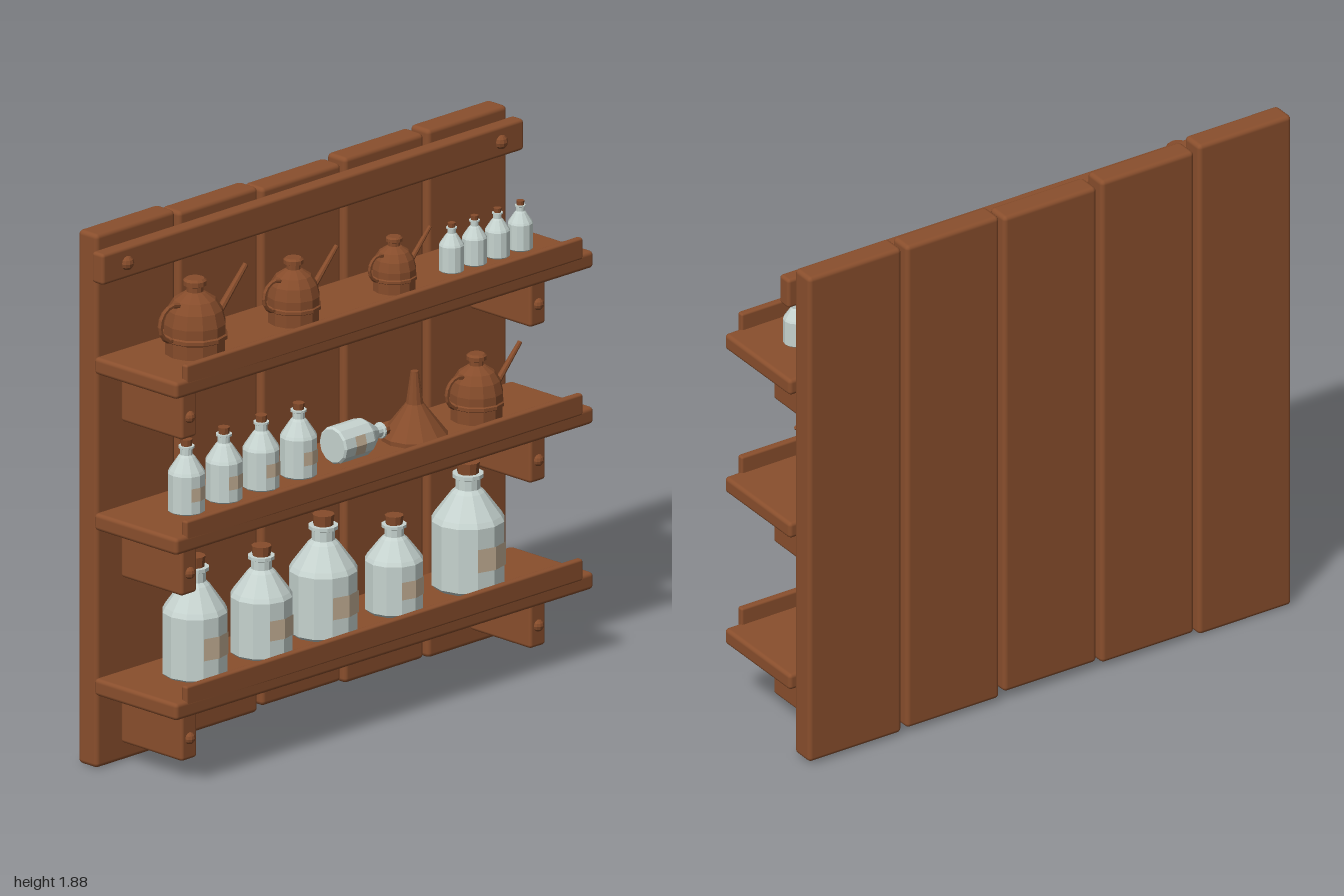
import * as THREE from 'three';
import { RoundedBoxGeometry } from 'three/addons/geometries/RoundedBoxGeometry.js';

const mat = (name, color, extra = {}) => {
  const m = new THREE.MeshStandardMaterial({ color, ...extra });
  m.name = name;
  return m;
};

export function createModel() {
  const root = new THREE.Group();
  root.name = 'wallShelf';
  const wood = mat('wood', 0x8a4f2d);
  const copper = mat('copper', 0x864c2b, { flatShading: true });
  const glass = mat('paleGlass', 0xc6d3cf, { flatShading: true });
  const paper = mat('labelPaper', 0xc2ae94, { flatShading: true });

  const add = (parent, name, geo, material, x = 0, y = 0, z = 0) => {
    const m = new THREE.Mesh(geo, material);
    m.name = name;
    m.position.set(x, y, z);
    parent.add(m);
    return m;
  };
  // Box with softened edges, given by its limits
  const slab = (name, x0, x1, y0, y1, z0, z1, r = 0.012) =>
    add(root, name, new RoundedBoxGeometry(x1 - x0, y1 - y0, z1 - z0, 2, r), wood,
      (x0 + x1) / 2, (y0 + y1) / 2, (z0 + z1) / 2);
  const bolt = (x, y, z, r) => {
    const b = add(root, 'bolt', new THREE.SphereGeometry(r, 10, 6), copper, x, y, z);
    b.scale.z = 0.9;
  };
  const lathe = (pts, s, n = 12) =>
    new THREE.LatheGeometry(pts.map(([r, y]) => new THREE.Vector2(r * s, y * s)), n);
  const place = (name, x, y) => {
    const g = new THREE.Group();
    g.name = name;
    g.position.set(x, y, 0.045);
    root.add(g);
    return g;
  };

  // Back planks: left edge, bottom, top
  [[-0.975, 0, 1.885], [-0.583, 0.016, 1.872], [-0.19, 0.03, 1.86],
    [0.202, 0.016, 1.872], [0.596, 0.01, 1.876]].forEach(([x, y0, y1]) =>
    slab('backPlank', x, x + 0.375, y0, y1, -0.245, -0.155, 0.016));

  // Top rail
  slab('topRail', -1, 0.995, 1.725, 1.835, -0.155, -0.1);
  for (const s of [-1, 1]) bolt(s * 0.885, 1.78, -0.1, 0.025);

  // Shelves with front lip and brackets
  for (const y of [1.425, 0.874, 0.29]) {
    const shelf = slab('shelf', -0.993, 0.993, y - 0.03, y + 0.03, -0.155, 0.235, 0.014);
    shelf.rotation.set(0, 0.004, -0.006);
    slab('shelfLip', -0.942, 0.935, y + 0.01, y + 0.086, 0.212, 0.238, 0.008);
    for (const s of [-1, 1]) {
      const x = s * 0.825;
      slab('bracket', x - 0.037, x + 0.037, y - 0.223, y - 0.02, -0.156, 0.135);
      bolt(x, y - 0.147, 0.135, 0.021);
    }
  }

  // Bottle: body radius R, total height H, cork included
  const bottle = (x, y, R, H, label = true) => {
    const g = place('bottle', x, y);
    const h = H / R;
    add(g, 'bottleGlass', lathe([[0, 0], [0.9, 0], [1, 0.1], [1, 0.54 * h], [0.92, 0.58 * h],
      [0.45, 0.76 * h], [0.34, 0.79 * h], [0.34, 0.87 * h], [0.43, 0.88 * h],
      [0.43, 0.91 * h], [0, 0.91 * h]], R), glass);
    add(g, 'cork', new THREE.CylinderGeometry(0.32 * R, 0.28 * R, 0.11 * H, 10), copper, 0, 0.945 * H, 0);
    if (label) {
      add(g, 'label', new THREE.CylinderGeometry(1.04 * R, 1.04 * R, 0.185 * H, 2, 1, true,
        -Math.PI / 6, Math.PI / 3), paper, 0, 0.29 * H, 0);
    }
    return g;
  };
  // Large bottles on the lowest shelf
  [[-0.71, 0.112, 0.42], [-0.395, 0.107, 0.38], [-0.102, 0.118, 0.42],
    [0.233, 0.1, 0.335], [0.583, 0.126, 0.44]].forEach(([x, R, H]) => bottle(x, 0.32, R, H));
  // Small bottles, one lying down
  for (let i = 0; i < 4; i++) bottle(-0.75 + i * 0.177, 0.906, 0.064, 0.255);
  bottle(-0.06, 0.969, 0.065, 0.255).rotation.z = -Math.PI / 2;
  // Tiny bottles
  for (let i = 0; i < 4; i++) bottle(0.505 + i * 0.1085, 1.452, 0.043, 0.17, false);

  // Oil cans, all sized from body radius R
  const oilCan = (x, y, R) => {
    const g = place('oilCan', x, y);
    add(g, 'canBody', lathe([[0, 0], [0.93, 0], [0.93, 0.48], [1, 0.52], [1, 0.64], [0.95, 0.68],
      [0.95, 0.98], [0.84, 1.4], [0.64, 1.72], [0.34, 1.92], [0.26, 1.96], [0.26, 2.12],
      [0.36, 2.16], [0.36, 2.3], [0.28, 2.37], [0, 2.37]], R), copper);
    add(g, 'canHandle', new THREE.TorusGeometry(0.55 * R, 0.08 * R, 6, 16), copper, -0.92 * R, 1.15 * R, 0);
    const a = new THREE.Vector3(0.7, 0.72, 0), b = new THREE.Vector3(2.15, 2.28, 0);
    const d = b.clone().sub(a);
    const spout = add(g, 'canSpout', new THREE.CylinderGeometry(0.085 * R, 0.13 * R, d.length() * R, 8), copper);
    spout.position.copy(a).add(b).multiplyScalar(R / 2);
    spout.quaternion.setFromUnitVectors(new THREE.Vector3(0, 1, 0), d.normalize());
  };
  oilCan(-0.71, 1.455, 0.112);
  oilCan(-0.243, 1.455, 0.095);
  oilCan(0.233, 1.453, 0.079);
  oilCan(0.623, 0.904, 0.096);

  // Upturned funnel
  const funnel = place('funnel', 0.33, 0.903);
  add(funnel, 'funnelCone', lathe([[0, 0], [0.115, 0], [0.115, 0.015], [0.03, 0.125],
    [0.014, 0.237], [0, 0.237]], 1), copper);

  return root;
}
